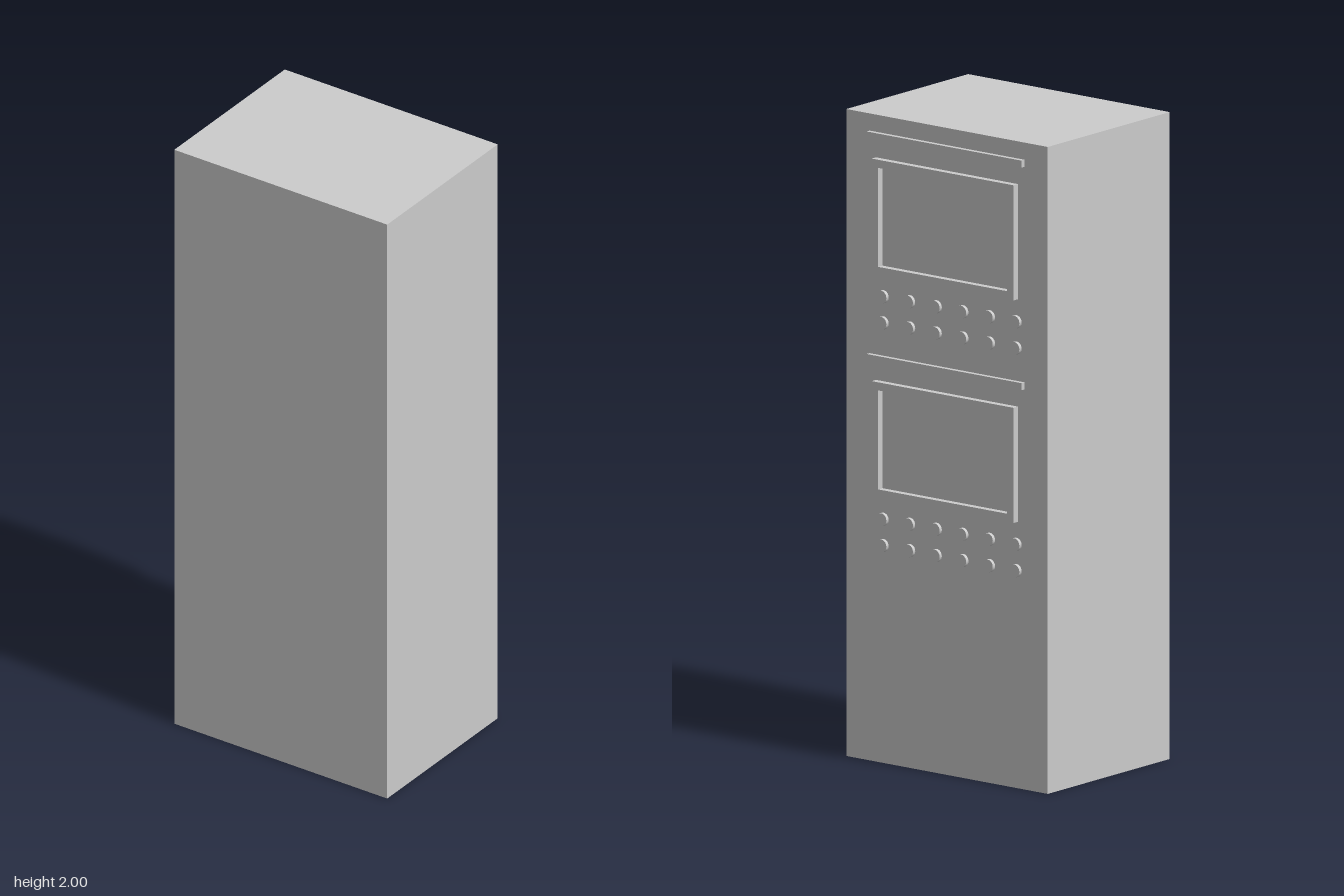
import * as THREE from 'three';

const BACK = -0.281; // plane of the cabinet's back face

export function createModel() {
  const model = new THREE.Group();
  const material = new THREE.MeshStandardMaterial({ color: 0xcccccc });

  const add = (parent, name, geometry, x, y, z) => {
    const mesh = new THREE.Mesh(geometry, material);
    mesh.name = name;
    mesh.position.set(x, y, z);
    parent.add(mesh);
  };

  // Plain tall cabinet
  add(model, 'cabinet', new THREE.BoxGeometry(0.78, 2, 0.582), 0, 1, 0.01);

  // Rectangular bezel, open in the middle
  const rectangle = (path, w, h) => {
    path.moveTo(-w / 2, -h / 2);
    path.lineTo(w / 2, -h / 2);
    path.lineTo(w / 2, h / 2);
    path.lineTo(-w / 2, h / 2);
    path.closePath();
    return path;
  };
  const outline = rectangle(new THREE.Shape(), 0.55, 0.356);
  outline.holes.push(rectangle(new THREE.Path(), 0.5, 0.306));
  const bezel = new THREE.ExtrudeGeometry(outline, { depth: 0.021, bevelEnabled: false });

  const bar = new THREE.BoxGeometry(0.6, 0.022, 0.015);
  const knob = new THREE.CylinderGeometry(0.02, 0.02, 0.011, 20).rotateX(Math.PI / 2);

  // Two identical panels: bar, bezel and two rows of knobs
  [['upperPanel', 0], ['lowerPanel', -0.688]].forEach(([name, y]) => {
    const panel = new THREE.Group();
    panel.name = name;
    panel.position.set(0, y, BACK);
    add(panel, 'bar', bar, 0, 1.936, -0.0075);
    add(panel, 'bezel', bezel, 0, 1.69, -0.021);
    for (const rowY of [1.442, 1.361]) {
      for (let i = 0; i < 6; i++) add(panel, 'knob', knob, 0.246 - i * 0.103, rowY, -0.0055);
    }
    model.add(panel);
  });

  return model;
}
